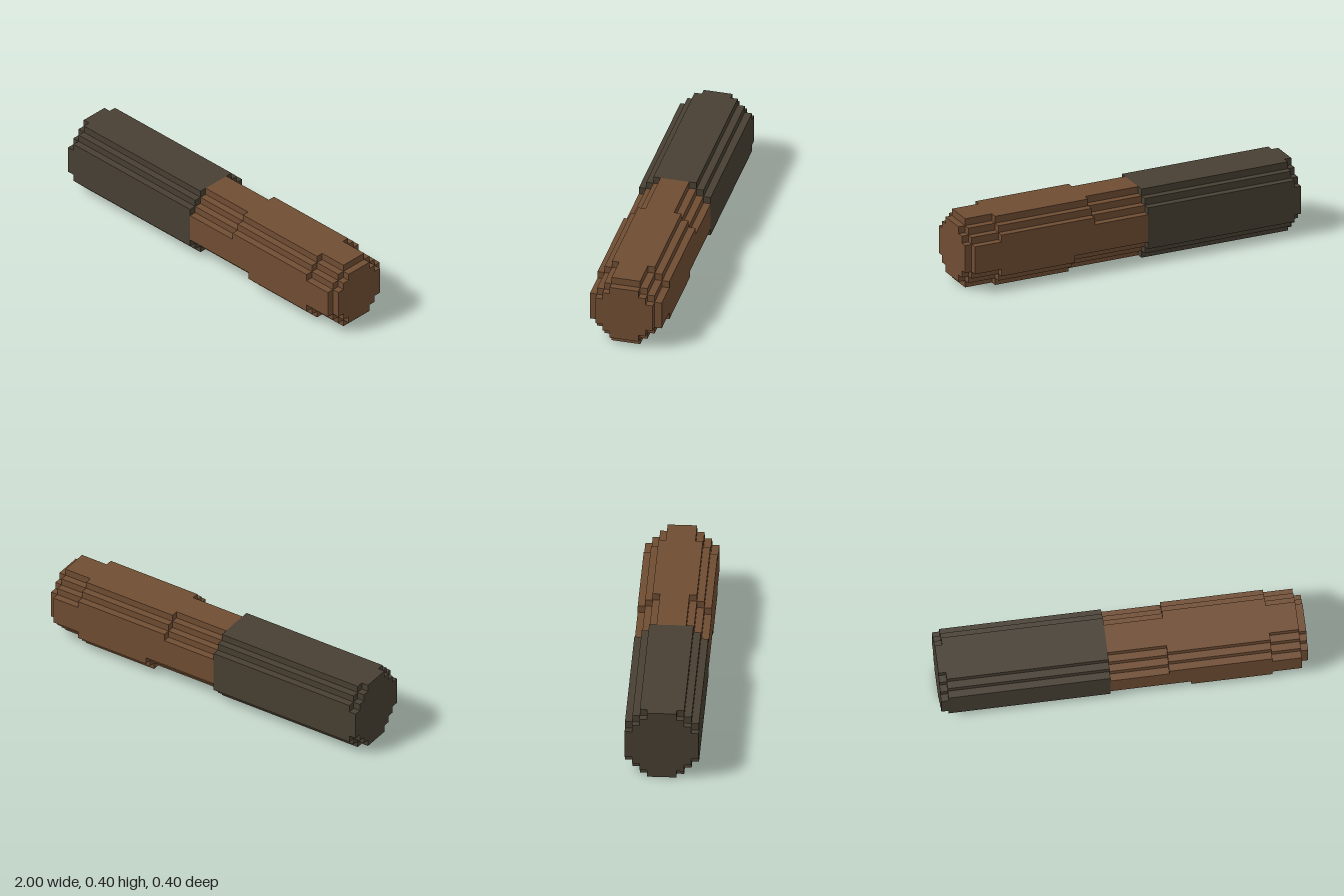
import * as THREE from 'three';

const V = 0.04; // size of one block step

// Stepped corner profiles, listed from the widest step to the highest: [half width, half height]
const FULL = [[5, 3], [4, 4], [3, 5]];
const WORN = [[5, 2], [4, 3], [3, 4], [2, 5]];
const TIP = [[4, 2], [3, 3], [2, 4]];

// Staircase outline of one quarter of the section
function quarter(steps) {
  const pts = [];
  steps.forEach(([w, h], i) => {
    if (i > 0) pts.push([w, steps[i - 1][1]]);
    pts.push([w, h]);
  });
  return pts;
}

// Length of log between x0 and x1 with its own upper and lower profile
function segment(name, material, x0, x1, upper, lower = upper) {
  const up = quarter(upper);
  const low = quarter(lower);
  const outline = [
    ...up,
    ...up.map(([w, h]) => [-w, h]).reverse(),
    ...low.map(([w, h]) => [-w, -h]),
    ...low.map(([w, h]) => [w, -h]).reverse(),
  ].map(([w, h]) => new THREE.Vector2(w * V, h * V));
  const geometry = new THREE.ExtrudeGeometry(new THREE.Shape(outline), {
    depth: x1 - x0,
    bevelEnabled: false,
  });
  geometry.rotateY(Math.PI / 2);
  geometry.translate(x0, 5 * V, 0);
  const mesh = new THREE.Mesh(geometry, material);
  mesh.name = name;
  return mesh;
}

export function createModel() {
  const dark = new THREE.MeshStandardMaterial({ color: 0x484033 });
  dark.name = 'dark bark';
  const brown = new THREE.MeshStandardMaterial({ color: 0x704d33 });
  brown.name = 'brown wood';

  const model = new THREE.Group();
  model.name = 'steppedRod';

  // Dark half with a slightly trimmed end
  model.add(
    segment('darkEnd', dark, -1, -0.96, WORN),
    segment('darkBody', dark, -0.96, -0.08, FULL),
  );

  // Brown half: slimmer neck, longer underneath, then body and stepped tip
  model.add(
    segment('brownNeck', brown, -0.08, 0.24, WORN),
    segment('brownNeckUnderside', brown, 0.24, 0.36, FULL, WORN),
    segment('brownBody', brown, 0.36, 0.8, FULL),
    segment('brownCollar', brown, 0.8, 0.96, WORN),
    segment('brownTip', brown, 0.96, 1, TIP),
  );
  return model;
}
